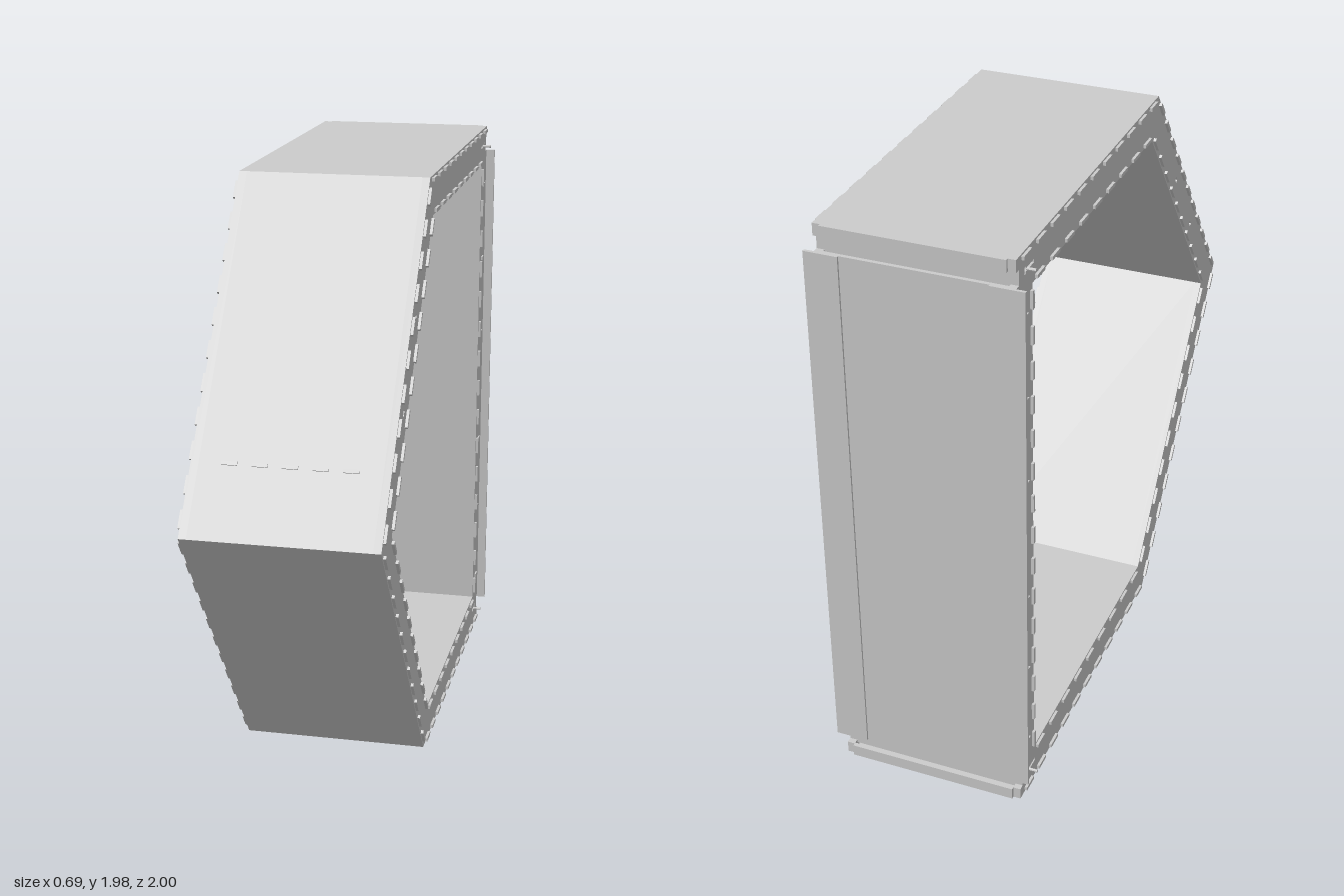
import * as THREE from 'three';

// Side outlines as [z, y], counter-clockwise
const OUTER = [[-0.99, 0.01], [0.24, 0.01], [1, 1], [0.24, 1.99], [-0.99, 1.99]];
const INNER = [[-0.87, 0.135], [0.18, 0.135], [0.84, 1], [0.18, 1.86], [-0.87, 1.86]];
const SHEET = 0.014;
const PLATE_IN = 0.287, PLATE_OUT = 0.312;
const mat = new THREE.MeshStandardMaterial({ color: 0xcccccc, flatShading: true, side: THREE.DoubleSide });

function add(parent, name, geo) {
  const mesh = new THREE.Mesh(geo, mat);
  mesh.name = name;
  parent.add(mesh);
  return mesh;
}

function box(parent, name, x0, x1, y0, y1, z0, z1) {
  const mesh = add(parent, name, new THREE.BoxGeometry(x1 - x0, y1 - y0, z1 - z0));
  mesh.position.set((x0 + x1) / 2, (y0 + y1) / 2, (z0 + z1) / 2);
  return mesh;
}

// Extrude a [z, y] outline across x0..x1
function extrude(points, x0, x1, holes = []) {
  const toVec = (p) => new THREE.Vector2(p[0], p[1]);
  const shape = new THREE.Shape(points.map(toVec));
  holes.forEach((h) => shape.holes.push(new THREE.Path(h.map(toVec))));
  const geo = new THREE.ExtrudeGeometry(shape, { depth: x1 - x0, bevelEnabled: false });
  return geo.rotateY(-Math.PI / 2).translate(x1, 0, 0);
}

// Move every edge of an outline inwards by d, keeping mitred corners
function inset(points, d) {
  const n = points.length;
  const normal = (a, b) => {
    const l = Math.hypot(b[0] - a[0], b[1] - a[1]);
    return [-(b[1] - a[1]) / l, (b[0] - a[0]) / l];
  };
  return points.map((p, i) => {
    const m = normal(points[(i + n - 1) % n], p), k = normal(p, points[(i + 1) % n]);
    const s = d / (1 + m[0] * k[0] + m[1] * k[1]);
    return [p[0] + (m[0] + k[0]) * s, p[1] + (m[1] + k[1]) * s];
  });
}

// Rectangle centred on z, y and turned by an angle
function slot(z, y, length, height, angle = 0) {
  const c = Math.cos(angle), s = Math.sin(angle);
  return [[-1, -1], [1, -1], [1, 1], [-1, 1]].map(([i, j]) => {
    const u = i * length / 2, v = j * height / 2;
    return [z + u * c - v * s, y + u * s + v * c];
  });
}

// Panels joining the two side plates along an outline
function panels(parent, name, points, thickness, skip = -1) {
  const other = inset(points, thickness);
  points.forEach((p, i) => {
    if (i === skip) return;
    const j = (i + 1) % points.length;
    add(parent, name, extrude([p, points[j], other[j], other[i]], -PLATE_IN, PLATE_IN));
  });
}

// Finger tabs of the panels, passing through the side plates
function tabs(parent, points, offset, skip = -1) {
  const line = inset(points, offset);
  line.forEach((a, i) => {
    if (i === skip) return;
    const b = line[(i + 1) % line.length];
    const length = Math.hypot(b[0] - a[0], b[1] - a[1]);
    const count = Math.round(length / 0.115);
    const angle = Math.atan2(b[1] - a[1], b[0] - a[0]);
    for (let k = 0; k < count; k++) {
      const t = (k + 0.5) / count;
      const mid = [a[0] + (b[0] - a[0]) * t, a[1] + (b[1] - a[1]) * t];
      for (const s of [-1, 1]) {
        const x = s * 0.305;
        add(parent, 'fingerTab', extrude(slot(mid[0], mid[1], 0.06, 0.012, angle), x - 0.016, x + 0.016));
      }
    }
  });
}

export function createModel() {
  const model = new THREE.Group();
  model.name = 'frameModule';

  // Side plates with notches at the back corners, keyholes and small slots
  const outline = [...OUTER,
    [-0.99, 1.95], [-0.97, 1.95], [-0.97, 1.9], [-0.99, 1.9],
    [-0.99, 0.1], [-0.97, 0.1], [-0.97, 0.05], [-0.99, 0.05]];
  const slope = Math.atan2(0.99, -0.76);
  const holes = [INNER, slot(0.47, 1.59, 0.02, 0.012, slope), slot(0.66, 1.335, 0.02, 0.012, slope)];
  for (const y of [0.075, 1.925]) {
    holes.push([[-0.93, y - 0.012], [-0.92, y - 0.012], [-0.92, y - 0.005], [-0.86, y - 0.005],
      [-0.86, y + 0.005], [-0.92, y + 0.005], [-0.92, y + 0.012], [-0.93, y + 0.012]]);
  }
  add(model, 'leftSidePlate', extrude(outline, PLATE_IN, PLATE_OUT, holes));
  add(model, 'rightSidePlate', extrude(outline, -PLATE_OUT, -PLATE_IN, holes));

  // Outer and inner skins, the outer one left open at the back
  panels(model, 'outerPanel', OUTER, SHEET, 4);
  panels(model, 'innerPanel', INNER, -SHEET);
  tabs(model, OUTER, 0.012, 4);
  tabs(model, INNER, -0.012);

  // Back board with a raised flange along each side
  box(model, 'backBoard', -PLATE_IN, PLATE_IN, 0.09, 1.9, -0.993, -0.98);
  for (const s of [-1, 1]) {
    const flange = box(model, 'backFlange', -0.055, 0.055, 0.09, 1.9, -1, -0.99);
    flange.position.x = s * 0.288;

    // Rib ends showing through the side plates
    for (const y of [0.21, 0.5, 0.78, 1.21, 1.5, 1.78]) {
      const x = s * 0.305;
      box(model, 'ribTab', x - 0.012, x + 0.012, y - 0.006, y + 0.006, -0.945, -0.91);
    }

    // Corner bolts
    for (const y of [0.07, 1.925]) {
      const bolt = add(model, 'cornerBolt', new THREE.CylinderGeometry(0.005, 0.005, 0.03, 8));
      bolt.rotation.z = Math.PI / 2;
      bolt.position.set(s * 0.325, y, -0.91);
    }
  }

  // Recessed strips and end rails closing the back at top and bottom
  for (const y of [0.03, 1.97]) {
    box(model, 'backEndRail', -PLATE_IN, PLATE_IN, y - 0.02, y + 0.02, -1, -0.985);
    const gap = y < 1 ? 0.075 : 1.925;
    box(model, 'backRecess', -PLATE_IN, PLATE_IN, gap - 0.035, gap + 0.035, -0.97, -0.958);
  }

  // Row of rib tabs across the upper front panel
  for (let i = -2; i <= 2; i++) {
    const x = i * 0.095;
    add(model, 'frontRibTab', extrude(slot(0.846, 1.198, 0.012, 0.012, slope), x - 0.025, x + 0.025));
  }
  return model;
}
